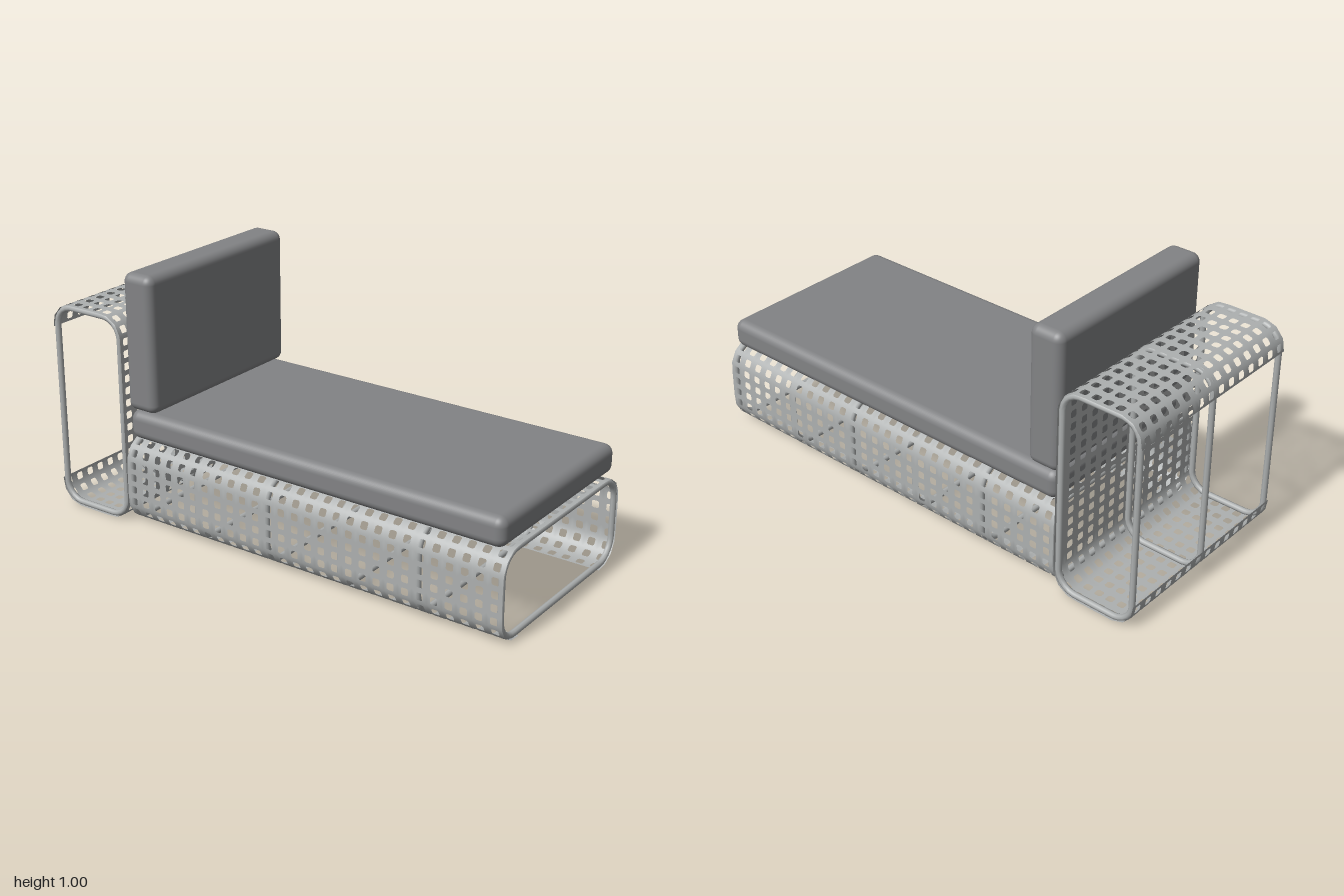
import * as THREE from 'three';
import { RoundedBoxGeometry } from 'three/addons/geometries/RoundedBoxGeometry.js';

// Rounded rectangle w x h standing on b = 0, walked anticlockwise by arc length
// from the middle of its bottom side. Gives position (a, b) and outward normal.
function makeOutline(w, h, r) {
  const arc = (Math.PI / 2) * r;
  const sides = [w / 2 - r, h - 2 * r, w - 2 * r, h - 2 * r, w / 2 - r];
  const corners = [[w / 2 - r, r], [w / 2 - r, h - r], [r - w / 2, h - r], [r - w / 2, r]];
  const length = sides.reduce((sum, d) => sum + d, 0) + 4 * arc;
  const at = (s) => {
    for (let i = 0; i < 5; i++) {
      const angle = (i - 1) * Math.PI / 2;
      const na = Math.cos(angle), nb = Math.sin(angle);
      if (s <= sides[i] || i === 4) {
        // Straight side: measured back from the next corner, or on from the last
        const c = corners[i < 4 ? i : 3];
        const d = i < 4 ? s - sides[i] : s;
        return { a: c[0] + r * na - nb * d, b: c[1] + r * nb + na * d, na, nb };
      }
      s -= sides[i];
      if (s <= arc) {
        const t = angle + s / r, ca = Math.cos(t), cb = Math.sin(t);
        return { a: corners[i][0] + r * ca, b: corners[i][1] + r * cb, na: ca, nb: cb };
      }
      s -= arc;
    }
  };
  return { length, at };
}

// Sheet bent along the outline, one chamfered square hole per cell
function perforatedSheet(outline, gap, rows, v0, v1, cols, place) {
  const position = [], normal = [], index = [];
  const ds = (outline.length - 2 * gap) / rows, dv = (v1 - v0) / cols;
  const H = 0.0145, K = 0.0095;
  const hole = [[K, -H], [H, -K], [H, K], [K, H], [-K, H], [-H, K], [-H, -K], [-K, -H]];
  const outer = [[1, -1], [1, 1], [-1, 1], [-1, -1]].map(([x, y]) => [x * ds / 2, y * dv / 2]);
  for (let i = 0; i < rows; i++) {
    for (let j = 0; j < cols; j++) {
      const base = position.length / 3;
      for (const [x, y] of [...outer, ...hole]) {
        const p = outline.at(gap + (i + 0.5) * ds + x);
        position.push(...place(p.a, p.b, v0 + (j + 0.5) * dv + y, 1));
        normal.push(...place(p.na, p.nb, 0, 0));
      }
      for (let k = 0; k < 4; k++) {
        const o = base + k, o2 = base + (k + 1) % 4;
        const h0 = base + 4 + 2 * k, h1 = h0 + 1, h2 = base + 4 + (2 * k + 2) % 8;
        index.push(o, h0, h1, o, h1, o2, o2, h1, h2);
      }
    }
  }
  const g = new THREE.BufferGeometry();
  g.setAttribute('position', new THREE.Float32BufferAttribute(position, 3));
  g.setAttribute('normal', new THREE.Float32BufferAttribute(normal, 3));
  g.setIndex(index);
  return g;
}

// Closed tube just inside the outline
class RingCurve extends THREE.Curve {
  constructor(outline, v, inset, place) {
    super();
    Object.assign(this, { outline, v, inset, place });
  }
  getPoint(t, target = new THREE.Vector3()) {
    const p = this.outline.at((t % 1) * this.outline.length);
    return target.set(...this.place(p.a - p.na * this.inset, p.b - p.nb * this.inset, this.v, 1));
  }
}

export function createModel() {
  const model = new THREE.Group();
  const metal = new THREE.MeshStandardMaterial({ color: 0xadb0b0 });
  metal.name = 'grey metal';
  metal.side = THREE.DoubleSide;
  const fabric = new THREE.MeshStandardMaterial({ color: 0x828385 });
  fabric.name = 'dark grey fabric';

  const add = (name, geometry, material, parent = model) => {
    const mesh = new THREE.Mesh(geometry, material);
    mesh.name = name;
    parent.add(mesh);
    return mesh;
  };

  const R = 0.012;
  const tunnel = (name, { w, h, r, gap, rows, v0, v1, cols, rings, place }) => {
    const group = new THREE.Group();
    group.name = name;
    model.add(group);
    const outline = makeOutline(w, h, r);
    add(name + 'PerforatedSheet', perforatedSheet(outline, gap, rows, v0, v1, cols, place), metal, group);
    for (let i = 0; i < rings; i++) {
      const v = THREE.MathUtils.lerp(v0 + R, v1 - R, i / (rings - 1));
      const curve = new RingCurve(outline, v, R + 0.001, place);
      add(name + 'FrameRing', new THREE.TubeGeometry(curve, 96, R, 8, true), metal, group);
    }
  };

  // Low bench: runs along x, open underneath
  tunnel('bench', {
    w: 0.824, h: 0.35, r: 0.1, gap: 0.292, rows: 32, v0: -0.652, v1: 1, cols: 28, rings: 6,
    place: (a, b, v) => [v, b, a],
  });
  // Tall side table: runs along z, open on its outer side (k = 0 for directions)
  tunnel('sideTable', {
    w: 0.83, h: 0.343, r: 0.09, gap: 0.315, rows: 32, v0: -0.412, v1: 0.412, cols: 14, rings: 3,
    place: (a, b, v, k) => [b - k, a + 0.415 * k, v],
  });

  // Cushions
  add('seatCushion', new RoundedBoxGeometry(1.63, 0.114, 0.796, 5, 0.036), fabric)
    .position.set(0.17, 0.408, 0);
  add('backCushion', new RoundedBoxGeometry(0.138, 0.538, 0.796, 5, 0.034), fabric)
    .position.set(-0.583, 0.736, 0);

  return model;
}
